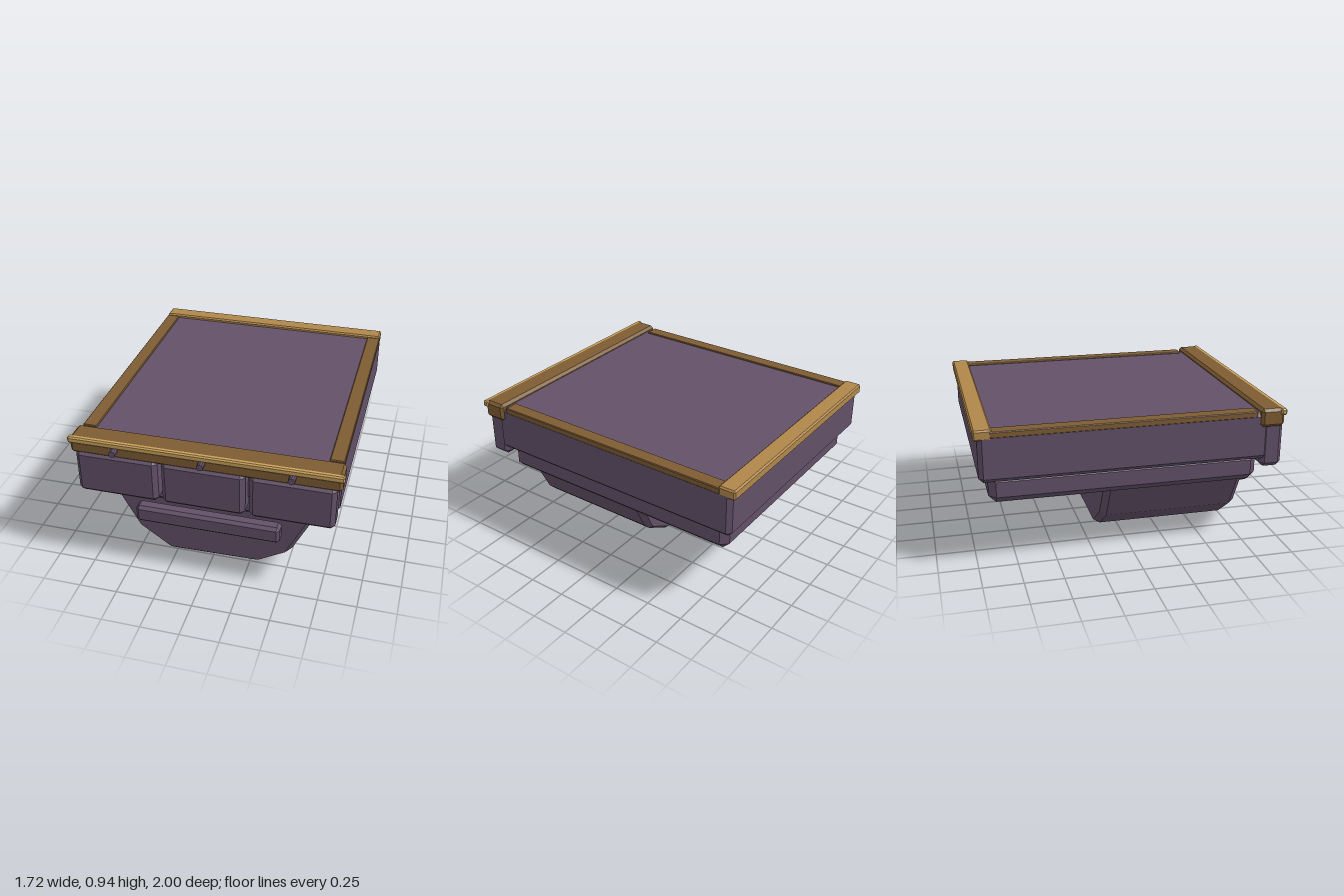
import * as THREE from 'three';
import { ConvexGeometry } from 'three/addons/geometries/ConvexGeometry.js';

function material(name, color) {
  const m = new THREE.MeshStandardMaterial({ color });
  m.name = name;
  return m;
}

// Box between two corners, with every edge cut by a flat chamfer c
function chamferBox([x0, y0, z0], [x1, y1, z1], c) {
  const centre = new THREE.Vector3(x0 + x1, y0 + y1, z0 + z1).multiplyScalar(0.5);
  const half = [(x1 - x0) / 2, (y1 - y0) / 2, (z1 - z0) / 2];
  const points = [];
  for (const sx of [-1, 1]) for (const sy of [-1, 1]) for (const sz of [-1, 1]) {
    for (let axis = 0; axis < 3; axis++) {
      const [x, y, z] = half.map((h, i) => (i === axis ? h : h - c));
      points.push(new THREE.Vector3(sx * x, sy * y, sz * z).add(centre));
    }
  }
  return new ConvexGeometry(points);
}

export function createModel() {
  const group = new THREE.Group();
  const purple = material('dusky purple', 0x625068);
  const brown = material('dark bronze', 0x7d5c33);
  const gold = material('warm gold', 0xb0874a);
  const paleGold = material('pale gold', 0xc9a05a);

  const add = (name, geometry, mat) => {
    const mesh = new THREE.Mesh(geometry, mat);
    mesh.name = name;
    group.add(mesh);
    return mesh;
  };
  const box = (name, a, b, c, mat) => add(name, chamferBox(a, b, c), mat);

  // Stepped deck
  box('deckSlab', [-0.83, 0.6, -0.975], [0.83, 0.915, 0.865], 0.028, purple);
  box('lowerSlab', [-0.77, 0.435, -0.915], [0.77, 0.625, 0.82], 0.045, purple);

  // Keel: full outline in the middle, inset outline at both ends
  const outer = [[-0.67, 0.45], [-0.52, 0.17], [-0.33, 0.03], [-0.26, 0.004],
    [0.3, 0.015], [0.48, 0.12], [0.53, 0.17], [0.67, 0.45]];
  const inner = [[-0.635, 0.45], [-0.49, 0.185], [-0.29, 0.042],
    [0.31, 0.052], [0.49, 0.155], [0.635, 0.45]];
  const keel = [];
  for (const z of [-0.125, 0.74]) for (const [x, y] of outer) keel.push(new THREE.Vector3(x, y, z));
  for (const z of [-0.165, 0.78]) for (const [x, y] of inner) keel.push(new THREE.Vector3(x, y, z));
  add('keel', new ConvexGeometry(keel), purple);

  // Front blocks and the bar below them
  for (const x of [-0.555, 0, 0.555]) {
    box('frontBlock', [x - 0.265, 0.54, 0.82], [x + 0.265, 0.845, 0.965], 0.028, purple);
  }
  box('frontBar', [-0.475, 0.308, 0.803], [0.472, 0.427, 0.897], 0.02, purple);

  // Rims around the deck
  for (const s of [-1, 1]) {
    const xs = [s * 0.74, s * 0.832].sort((a, b) => a - b);
    box('sideRail', [xs[0], 0.885, -0.9], [xs[1], 0.925, 0.78], 0.005, brown);
  }
  box('backRail', [-0.83, 0.873, -1], [0.83, 0.938, -0.885], 0.01, gold);
  box('frontBeam', [-0.85, 0.822, 0.8], [0.85, 0.94, 0.955], 0.018, brown);
  box('frontTrim', [-0.86, 0.897, 0.925], [0.86, 0.94, 0.965], 0.009, paleGold);

  // Pegs
  for (const x of [-0.555, 0, 0.555]) {
    const peg = add('peg', new THREE.CylinderGeometry(0.022, 0.022, 0.07, 10).toNonIndexed(), purple);
    peg.geometry.computeVertexNormals();
    peg.rotation.x = Math.PI / 2;
    peg.position.set(x, 0.883, 0.965);
  }
  return group;
}
